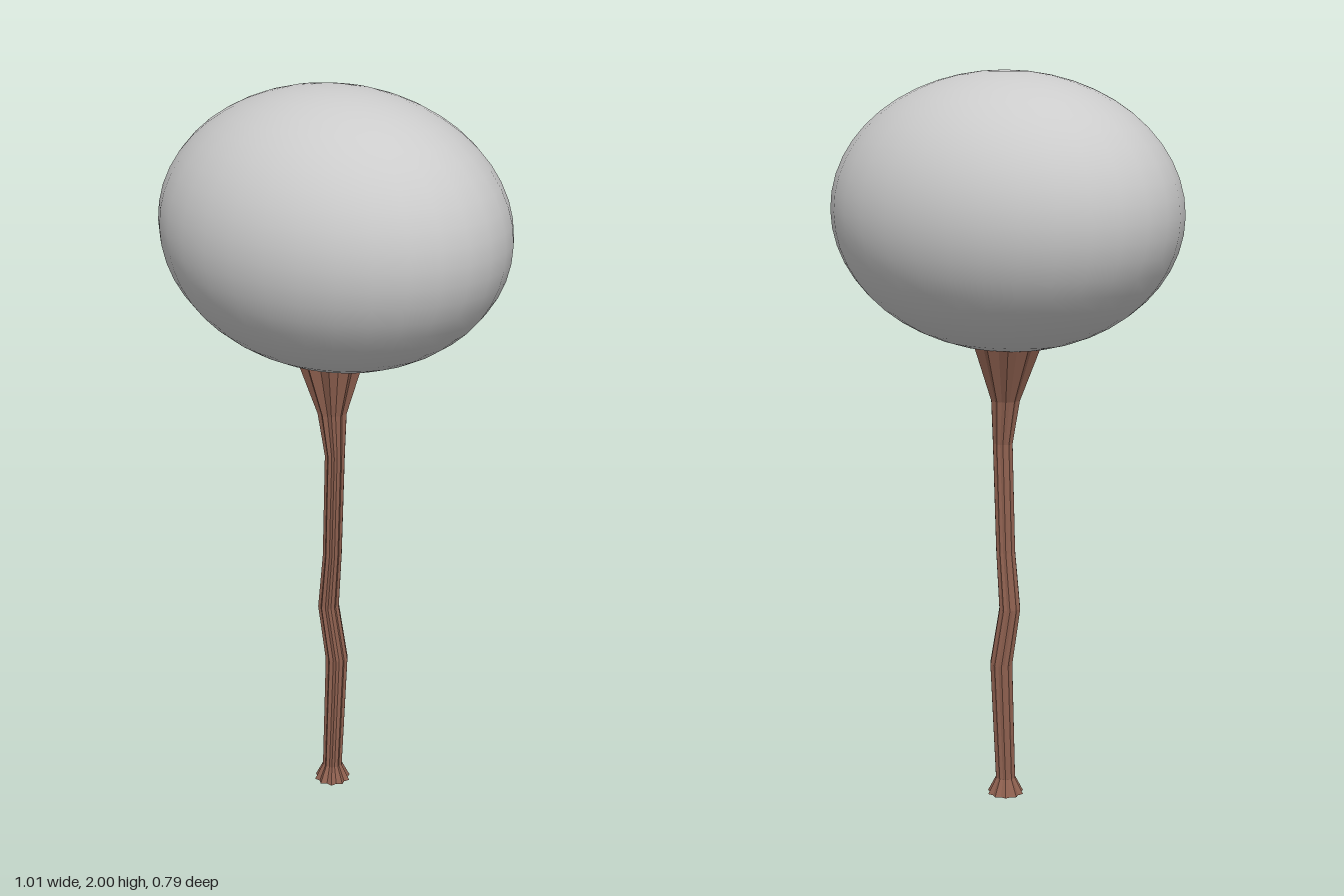
import * as THREE from 'three';

// Trunk rings from the ground up: [y, centre x, centre z, radius]
const RINGS = [
  [0, -0.002, 0, 0.053],
  [0.045, -0.002, 0, 0.029],
  [0.38, 0.003, -0.013, 0.033],
  [0.54, -0.02, -0.005, 0.031],
  [0.7, -0.004, -0.002, 0.028],
  [1.0, 0.01, 0.004, 0.029],
  [1.12, 0, 0.003, 0.042],
  [1.28, -0.016, -0.01, 0.1],
];
const SIDES = 20;

// Bent, fluted trunk: ridges alternate with grooves around every ring
function trunkGeometry() {
  const pos = [], idx = [];
  for (const [y, cx, cz, r] of RINGS) {
    for (let i = 0; i < SIDES; i++) {
      const a = (i / SIDES) * Math.PI * 2;
      const rr = r * (i % 2 ? 0.82 : 1 - 0.05 * Math.sin(i * 1.7) ** 2);
      pos.push(cx + rr * Math.sin(a), y, cz + rr * Math.cos(a));
    }
  }
  for (let j = 0; j < RINGS.length - 1; j++) {
    for (let i = 0; i < SIDES; i++) {
      const a = j * SIDES + i, b = j * SIDES + (i + 1) % SIDES;
      idx.push(a, b, b + SIDES, a, b + SIDES, a + SIDES);
    }
  }
  // End caps
  for (const j of [0, RINGS.length - 1]) {
    const [y, cx, cz] = RINGS[j], c = pos.length / 3;
    pos.push(cx, y, cz);
    for (let i = 0; i < SIDES; i++) {
      const a = j * SIDES + i, b = j * SIDES + (i + 1) % SIDES;
      if (j === 0) idx.push(c, b, a);
      else idx.push(c, a, b);
    }
  }
  const g = new THREE.BufferGeometry();
  g.setAttribute('position', new THREE.Float32BufferAttribute(pos, 3));
  g.setIndex(idx);
  g.computeVertexNormals();
  return g;
}

export function createModel() {
  const tree = new THREE.Group();
  tree.name = 'tree';

  const trunk = new THREE.Mesh(
    trunkGeometry(),
    new THREE.MeshStandardMaterial({ color: 0x8f6150, flatShading: true })
  );
  trunk.name = 'trunk';

  // Smooth egg-shaped crown
  const crown = new THREE.Mesh(
    new THREE.SphereGeometry(1, 32, 24),
    new THREE.MeshStandardMaterial({ color: 0xcccccc })
  );
  crown.name = 'crown';
  crown.scale.set(0.503, 0.371, 0.397);
  crown.position.y = 1.629;

  tree.add(trunk, crown);
  return tree;
}
